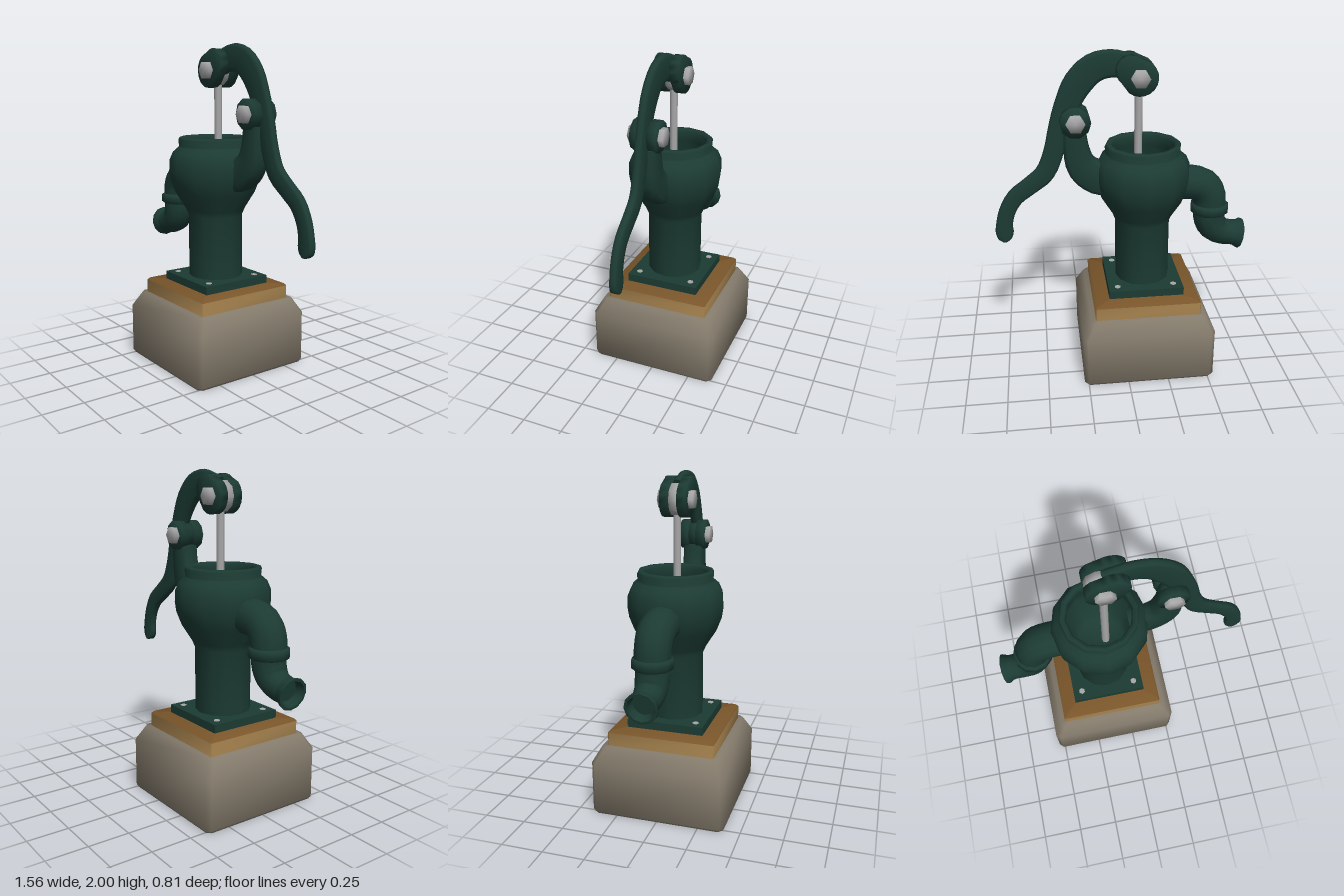
import * as THREE from 'three';
import { toCreasedNormals } from 'three/addons/utils/BufferGeometryUtils.js';

const AXIS = -0.13;  // x of the pump body's axis
const CREASE = 1.2;  // body parts: right angles stay sharp
const SMOOTH = 1.7;  // small hardware: shaded round throughout

const paint = (name, color) => {
  const m = new THREE.MeshStandardMaterial({ color });
  m.name = name;
  return m;
};

// Joins rings of points, counter-clockwise about the direction of travel, and caps both ends
function loft(rings) {
  const pos = [], n = rings[0].length;
  const tri = (a, b, c) => pos.push(...a.toArray(), ...b.toArray(), ...c.toArray());
  const centre = r => r.reduce((s, p) => s.add(p), new THREE.Vector3()).divideScalar(n);
  const last = rings[rings.length - 1], c0 = centre(rings[0]), c1 = centre(last);
  for (let j = 0; j < n; j++) {
    const k = (j + 1) % n;
    for (let i = 0; i < rings.length - 1; i++) {
      const p = rings[i], q = rings[i + 1];
      tri(p[j], p[k], q[k]);
      tri(p[j], q[k], q[j]);
    }
    tri(c0, rings[0][k], rings[0][j]);
    tri(c1, last[j], last[k]);
  }
  const g = new THREE.BufferGeometry();
  g.setAttribute('position', new THREE.Float32BufferAttribute(pos, 3));
  return toCreasedNormals(g, CREASE);
}

// Sweeps a section along [x, y, radius] points: round, or a rounded bar if given a half depth in z
function sweep(points, steps, depth) {
  const curve = new THREE.CatmullRomCurve3(points.map(p => new THREE.Vector3(...p)));
  const bulge = v => depth ? Math.sign(v) * Math.sqrt(Math.abs(v)) : v;
  const rings = [];
  for (let i = 0; i <= steps; i++) {
    const p = curve.getPoint(i / steps), t = curve.getTangent(i / steps);
    const len = Math.hypot(t.x, t.y) || 1;
    const ring = [];
    for (let j = 0; j < 12; j++) {
      const a = j / 12 * Math.PI * 2, w = p.z * bulge(Math.cos(a)) / len;
      ring.push(new THREE.Vector3(p.x - t.y * w, p.y + t.x * w,
        (depth || p.z) * bulge(Math.sin(a))));
    }
    rings.push(ring);
  }
  return loft(rings);
}

// Square block with clipped corners, from [half width, y] levels
function block(levels, clip) {
  return loft(levels.map(([h, y]) => {
    const c = h - clip;
    return [[c, h], [h, c], [h, -c], [c, -h], [-c, -h], [-h, -c], [-h, c], [-c, h]]
      .map(([x, z]) => new THREE.Vector3(AXIS + x, y, z));
  }));
}

const lathe = pts => toCreasedNormals(
  new THREE.LatheGeometry(pts.map(p => new THREE.Vector2(...p)), 12), CREASE);

// Cylinder lying along z, with corners pointing along x
function disc(radius, depth, sides) {
  const g = new THREE.CylinderGeometry(radius, radius, depth, sides);
  g.rotateY(Math.PI / 2).rotateX(Math.PI / 2);
  return toCreasedNormals(g, SMOOTH);
}

export function createModel() {
  const model = new THREE.Group();
  model.name = 'handWaterPump';
  const green = paint('darkGreenIron', 0x1c3b33);
  const steel = paint('steel', 0xa8a8a8);
  const stone = paint('stone', 0x837a6b);
  const shade = paint('darkGrey', 0x565354);
  const woodEdge = paint('lightWood', 0xa98550);
  const woodTop = paint('brownWood', 0x79552a);
  const add = (name, geometry, material, x = 0, y = 0, z = 0) => {
    const m = new THREE.Mesh(geometry, material);
    m.name = name;
    m.position.set(x, y, z);
    model.add(m);
    return m;
  };

  // Stone foot with its dark underside, wooden board and iron plate
  add('stoneBase', block([[0.397, 0.003], [0.406, 0.016], [0.406, 0.325], [0.355, 0.42]], 0.025), stone);
  add('baseUnderside', block([[0.397, 0], [0.397, 0.004]], 0.025), shade);
  add('boardSides', block([[0.325, 0.418], [0.325, 0.5]], 0.008), woodEdge);
  add('boardTop', block([[0.325, 0.5], [0.313, 0.512]], 0.008), woodTop);
  add('footPlate', new THREE.BoxGeometry(0.464, 0.05, 0.464), green, AXIS, 0.537, 0);
  for (const sx of [-1, 1]) for (const sz of [-1, 1]) {
    add('plateBolt', new THREE.CylinderGeometry(0.02, 0.02, 0.01, 6), steel,
      AXIS + sx * 0.175, 0.56, sz * 0.175);
  }

  // Column, bowl and open rim in one turned shape
  add('pumpBody', lathe([
    [0.17, 0.56], [0.17, 0.95], [0.187, 0.99], [0.25, 1.09], [0.281, 1.17], [0.29, 1.23],
    [0.287, 1.3], [0.265, 1.35], [0.232, 1.378], [0.227, 1.385], [0.231, 1.425], [0.222, 1.44],
    [0.2, 1.44], [0.19, 1.42], [0.195, 1.36], [0.225, 1.29], [0.225, 1.2], [0.17, 1.07],
    [0.14, 1.0], [0, 1.0],
  ]), green, AXIS);

  // Spout: elbow, collar, lower bend and flared open mouth
  add('spoutElbow', sweep([[-0.34, 1.175, 0.108], [-0.42, 1.175, 0.108], [-0.5, 1.152, 0.108],
    [-0.545, 1.09, 0.106], [-0.555, 1.0, 0.105]], 10), green);
  add('spoutCollar', lathe([[0, -0.032], [0.108, -0.032], [0.12, -0.022], [0.12, 0.022],
    [0.108, 0.032], [0, 0.032]]), green, -0.555, 1.0);
  add('spoutBend', sweep([[-0.555, 1.0, 0.1], [-0.557, 0.93, 0.1], [-0.59, 0.86, 0.094],
    [-0.65, 0.826, 0.085], [-0.705, 0.815, 0.08]], 10), green);
  const mouth = add('spoutMouth', lathe([[0.08, -0.01], [0.083, 0.02], [0.096, 0.042],
    [0.096, 0.057], [0.08, 0.057], [0.068, 0.02], [0.066, 0.004], [0, 0.004]]), green, -0.705, 0.815);
  mouth.quaternion.setFromUnitVectors(new THREE.Vector3(0, 1, 0),
    new THREE.Vector3(-0.983, -0.18, 0).normalize());

  // Bracket rising from the bowl to the lever pivot
  add('pivotBracket', sweep([[0.05, 1.22, 0.105], [0.15, 1.236, 0.104], [0.235, 1.302, 0.094],
    [0.268, 1.41, 0.078], [0.278, 1.53, 0.068]], 12, 0.062), green);
  for (const s of [-1, 1]) {
    add('pivotCheek', disc(0.092, 0.052, 10), green, 0.275, 1.595, s * 0.051);
  }
  add('pivotBolt', disc(0.056, 0.21, 6), steel, 0.275, 1.595);

  // Curved lever
  add('lever', sweep([[-0.075, 1.88, 0.08], [-0.02, 1.903, 0.077], [0.06, 1.918, 0.081],
    [0.16, 1.895, 0.085], [0.25, 1.81, 0.085], [0.31, 1.7, 0.075], [0.36, 1.57, 0.065],
    [0.405, 1.4, 0.06], [0.46, 1.275, 0.06], [0.555, 1.195, 0.055], [0.645, 1.125, 0.053],
    [0.7, 1.03, 0.05], [0.72, 0.945, 0.051], [0.722, 0.9, 0.055], [0.722, 0.86, 0.044],
    [0.722, 0.838, 0.016]], 45, 0.025), green);
  add('leverKnuckle', disc(0.08, 0.046, 10), green, 0.285, 1.6);

  // Fork on the lever's head, holding the rod
  const tilt = 0.68, q = Math.PI / 2;
  const cheek = new THREE.Shape();
  cheek.absarc(-0.1, 1.845, 0.105, tilt + q, tilt + 3 * q, false);
  cheek.absarc(-0.05, 1.885, 0.088, tilt - q, tilt + q, false);
  const cheekGeometry = toCreasedNormals(
    new THREE.ExtrudeGeometry(cheek, { depth: 0.052, bevelEnabled: false, curveSegments: 5 }), SMOOTH);
  for (const z of [-0.077, 0.025]) add('forkCheek', cheekGeometry, green, 0, 0, z);
  add('forkBolt', disc(0.056, 0.21, 6), steel, -0.1, 1.845);

  // Lifting rod with its eye
  add('rodEye', disc(0.093, 0.048, 10), steel, -0.105, 1.845);
  add('liftRod', new THREE.CylinderGeometry(0.024, 0.024, 0.84, 8), steel, -0.1, 1.42);

  return model;
}
